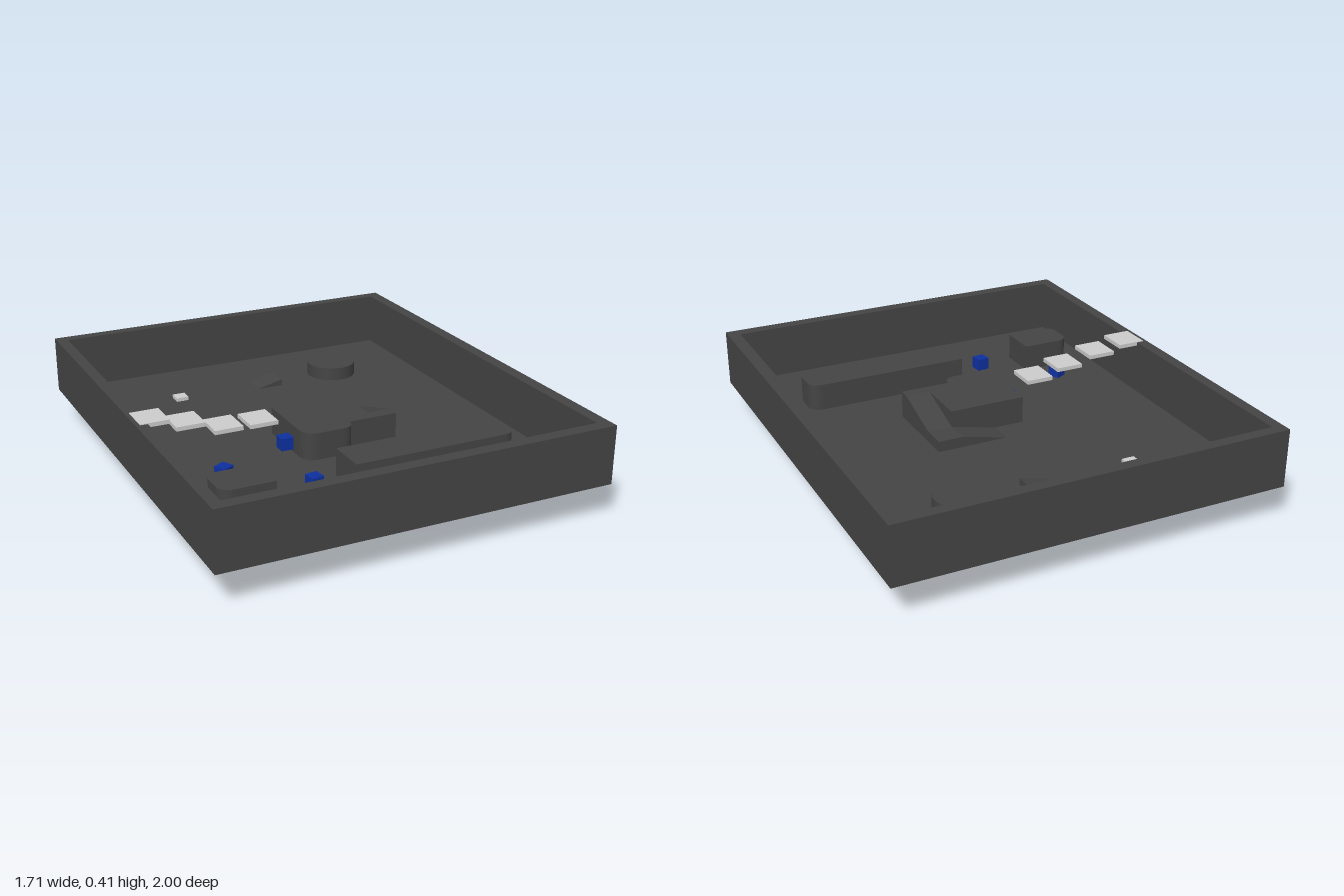
import * as THREE from 'three';

const FLOOR = 0.172, BASE = 0.155, TOP = 0.41;
const dark = new THREE.MeshStandardMaterial({ color: 0x444444 });
const grey = new THREE.MeshStandardMaterial({ color: 0xcccccc });
const blue = new THREE.MeshStandardMaterial({ color: 0x0e309f });

export function createModel() {
  const model = new THREE.Group();

  const add = (name, geometry, material) => {
    const mesh = new THREE.Mesh(geometry, material);
    mesh.name = name;
    model.add(mesh);
    return mesh;
  };
  const box = (name, material, w, h, d, x, y, z, turn = 0) => {
    const mesh = add(name, new THREE.BoxGeometry(w, h, d), material);
    mesh.position.set(x, y, z);
    mesh.rotation.y = turn;
  };
  // Plan outline drawn as (x, -z), raised from y0 to y1
  const raise = (name, shape, y0, y1) => {
    const g = new THREE.ExtrudeGeometry(shape, { depth: y1 - y0, bevelEnabled: false, curveSegments: 8 });
    g.rotateX(-Math.PI / 2).translate(0, y0, 0);
    return add(name, g, dark);
  };
  const outline = (pts) => new THREE.Shape(pts.map(([x, z]) => new THREE.Vector2(x, -z)));
  const rect = (x0, x1, z0, z1) => outline([[x0, z1], [x1, z1], [x1, z0], [x0, z0]]);
  // Side profile (x, y) stretched from z0 to z1
  const rampX = (name, pts, z0, z1) => {
    const shape = new THREE.Shape(pts.map(([x, y]) => new THREE.Vector2(x, y)));
    const g = new THREE.ExtrudeGeometry(shape, { depth: z1 - z0, bevelEnabled: false });
    add(name, g.translate(0, 0, z0), dark);
  };

  // Tray: rim walls and floor
  const rim = rect(-0.855, 0.855, -1, 1);
  rim.holes.push(rect(-0.805, 0.8, -0.95, 0.945));
  raise('trayWalls', rim, BASE, TOP);
  box('trayFloor', dark, 1.7, FLOOR - BASE, 1.99, 0, (FLOOR + BASE) / 2, 0);

  // Bars along the front, each rounded at its outer end
  const bar = (name, inner, outer, r) => {
    const s = Math.sign(outer - inner), z0 = 0.48, z1 = 0.655;
    const shape = new THREE.Shape();
    shape.moveTo(inner, -z1);
    shape.lineTo(outer - s * r, -z1);
    shape.quadraticCurveTo(outer, -z1, outer, -z1 + r);
    shape.lineTo(outer, -z0 - r);
    shape.quadraticCurveTo(outer, -z0, outer - s * r, -z0);
    shape.lineTo(inner, -z0);
    raise(name, shape, FLOOR, 0.292);
  };
  bar('shortBar', -0.46, -0.69, 0.06);
  bar('longBar', -0.12, 0.625, 0.06);

  // Central platform with a rounded front
  const deck = 0.292, p = new THREE.Shape();
  p.moveTo(-0.175, 0.03);
  p.lineTo(-0.175, -0.245);
  p.quadraticCurveTo(-0.175, -0.31, -0.11, -0.31);
  p.lineTo(-0.005, -0.31);
  p.quadraticCurveTo(0.055, -0.31, 0.055, -0.255);
  p.lineTo(0.28, -0.255);
  p.lineTo(0.28, -0.2);
  p.lineTo(0.17, -0.2);
  p.lineTo(0.17, 0.03);
  raise('platform', p, FLOOR, deck);

  // Ramp rising behind the platform to a landing, then forward to its top
  const landing = 0.22;
  rampX('backRamp', [[-0.04, FLOOR], [0.28, FLOOR], [0.28, landing], [0.17, landing]], -0.14, -0.03);
  const side = new THREE.Shape([[-0.2, FLOOR], [0.03, FLOOR], [0.03, landing], [-0.2, deck]]
    .map(([u, y]) => new THREE.Vector2(u, y)));
  const sideGeo = new THREE.ExtrudeGeometry(side, { depth: 0.11, bevelEnabled: false });
  add('sideRamp', sideGeo.rotateY(Math.PI / 2).translate(0.17, 0, 0), dark);

  // Small wedge and round pedestal at the back
  rampX('wedge', [[-0.015, FLOOR], [0.11, FLOOR], [0.11, FLOOR + 0.03]], -0.66, -0.548);
  add('roundPedestal', new THREE.CylinderGeometry(0.113, 0.113, 0.06, 48), dark)
    .position.set(0.398, FLOOR + 0.03, -0.605);

  // Floating steps climbing to the rim
  [[-0.775, 0.404, 0.115], [-0.63, 0.372, 0.132], [-0.472, 0.333, 0.147], [-0.303, 0.316, 0.115]]
    .forEach(([x, y, z], i) => box('floatingStep' + (i + 1), grey, 0.125, 0.018, 0.138, x, y, z));

  // Loose blue cubes
  [[-0.203, 0.167, 0], [-0.547, 0.333, 0.5], [-0.261, 0.57, 0.12]]
    .forEach(([x, z, turn], i) => box('cube' + (i + 1), blue, 0.055, 0.055, 0.055, x, 0.213, z, turn));

  // Button through the floor and block hanging below the tray
  box('floorButton', grey, 0.057, 0.053, 0.057, -0.39, 0.162, -0.588);
  box('lowerBlock', grey, 0.13, 0.072, 0.14, -0.425, 0.036, -0.066);

  return model;
}
